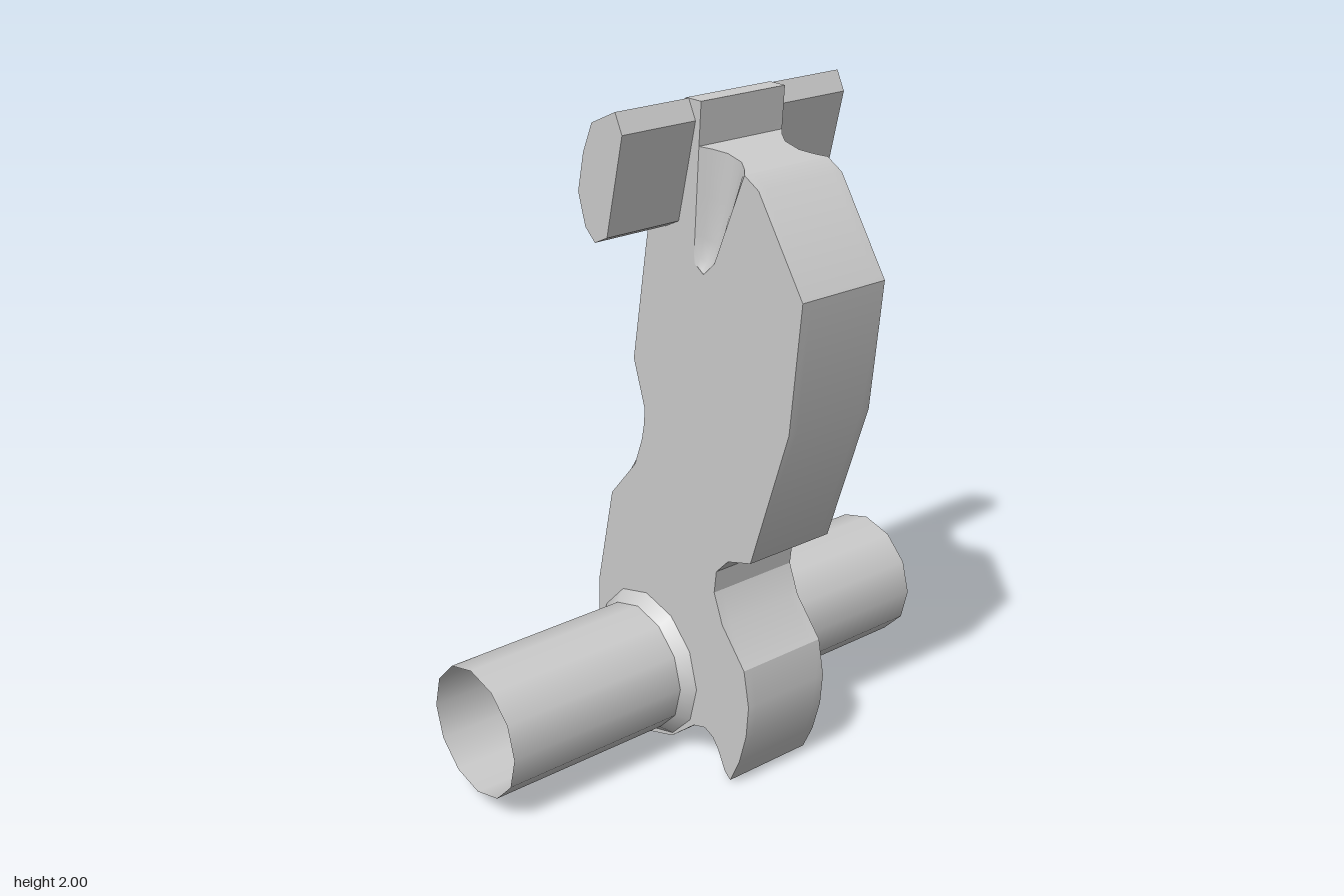
import * as THREE from 'three';
import { toCreasedNormals } from 'three/addons/utils/BufferGeometryUtils.js';

const HALF = 0.145;                    // half thickness of the arm
const AXLE = { y: 0.245, z: -0.207, r: 0.198 };
const material = new THREE.MeshStandardMaterial({ color: 0xcccccc, side: THREE.DoubleSide });

// Extrudes a [z, y] profile symmetrically along x.
function extrudeAlongX(points, half, steps = 1, hole = null) {
  const shape = new THREE.Shape(points.map(p => new THREE.Vector2(...p)));
  if (hole) shape.holes.push(new THREE.Path(hole.map(p => new THREE.Vector2(...p))));
  const g = new THREE.ExtrudeGeometry(shape, { depth: half * 2, steps, bevelEnabled: false });
  return g.rotateY(-Math.PI / 2).translate(half, 0, 0);
}

function createArm() {
  const outline = [
    // front edge, from the side scoop down to the lower hook
    [0.11, 1.575], [0.23, 1.84], [0.285, 1.81], [0.455, 1.555], [0.41, 1.18], [0.26, 0.75],
    [0.165, 0.72], [0.115, 0.67], [0.105, 0.6], [0.14, 0.51], [0.235, 0.4],
    [0.255, 0.29], [0.245, 0.19], [0.215, 0.09], [0.175, 0.01], [0.15, 0.03],
    [0.12, 0.09], [0.095, 0.12], [0.06, 0.135], [0.01, 0.12],
    // round the axle and up the waisted back edge
    [-0.095, 0.035], [-0.205, 0], [-0.305, 0.025], [-0.375, 0.065], [-0.435, 0.155],
    [-0.45, 0.255], [-0.44, 0.44], [-0.365, 0.75], [-0.25, 0.88], [-0.215, 0.97],
    [-0.204, 1.02], [-0.2, 1.07], [-0.245, 1.21], [-0.18, 1.56], [-0.14, 1.76],
    // head, inside the cross bar
    [-0.12, 1.87], [-0.08, 1.95], [0, 2], [0.06, 2], [0.05, 1.88], [0.025, 1.56], [0.065, 1.535],
  ];
  const hole = Array.from({ length: 12 }, (_, i) => {
    const a = -i * Math.PI / 6;
    return [AXLE.z + 0.2 * Math.cos(a), AXLE.y + 0.2 * Math.sin(a)];
  });
  const g = extrudeAlongX(outline, HALF, 10, hole);

  // the waist bulges back towards the middle of the thickness
  const p = g.attributes.position;
  for (let i = 0; i < p.count; i++) {
    const y = p.getY(i), z = p.getZ(i);
    if (y > 0.86 && y < 1.1 && z < -0.19) {
      p.setZ(i, z - 0.08 * (1 - (p.getX(i) / HALF) ** 2));
    }
  }
  return toCreasedNormals(g, 0.5);
}

// Fills the slot in the arm's head, leaving a tapering scoop in each side.
function createScoops() {
  const rows = [[0, 0.045], [0.4, 0.04], [0.75, 0.032], [0.92, 0.018], [1, 0]];
  const across = [0, 0.15, 0.35, 0.5, 0.65, 0.85, 1];
  const bow = v => Math.min(1, 1.15 * Math.sin(Math.PI * v));
  const pos = [], index = [], n = across.length;
  for (const side of [1, -1]) {
    const start = pos.length / 3;
    rows.forEach(([t, depth]) => across.forEach(v => {
      const z0 = 0.23 - 0.12 * t, z1 = 0.05 - 0.025 * t;
      const y0 = 1.84 - 0.265 * t, y1 = 1.88 - 0.32 * t;
      const sag = 0.03 * t * Math.sin(Math.PI * v);
      pos.push(side * (HALF - depth * bow(v)), y0 + (y1 - y0) * v - sag, z0 + (z1 - z0) * v);
    }));
    for (let r = 0; r < rows.length - 1; r++) {
      for (let c = 0; c < n - 1; c++) {
        const a = start + r * n + c, b = a + 1, d = a + n, e = d + 1;
        index.push(...(side > 0 ? [a, d, b, b, d, e] : [a, b, d, b, e, d]));
      }
    }
  }
  // sloping top face between the two scoops
  const other = rows.length * n, top = pos.length / 3;
  for (const s of [0, other]) pos.push(...pos.slice(s * 3, (s + n) * 3));
  for (let c = 0; c < n - 1; c++) {
    const a = top + c, b = a + n;
    index.push(a, a + 1, b, a + 1, b + 1, b);
  }
  const g = new THREE.BufferGeometry();
  g.setAttribute('position', new THREE.Float32BufferAttribute(pos, 3));
  g.setIndex(index);
  g.computeVertexNormals();
  return g;
}

export function createModel() {
  const group = new THREE.Group();
  const add = (name, geometry) => {
    const mesh = new THREE.Mesh(geometry, material);
    mesh.name = name;
    group.add(mesh);
    return mesh;
  };

  add('arm', createArm());
  add('sideScoops', createScoops());

  // cross bar at the head, round behind and flat in front
  add('crossBar', toCreasedNormals(extrudeAlongX([
    [0.037, 1.945], [0.01, 2], [-0.09, 1.955], [-0.13, 1.87], [-0.157, 1.76],
    [-0.13, 1.67], [-0.09, 1.635], [-0.037, 1.66],
  ], 0.385), 0.65));

  // hollow axle
  const axle = new THREE.CylinderGeometry(AXLE.r, AXLE.r, 1.54, 12, 1, true).rotateZ(Math.PI / 2);
  add('axleTube', axle).position.set(0, AXLE.y, AXLE.z);

  // tapered collar on each side of the arm
  for (const side of [1, -1]) {
    const collar = new THREE.CylinderGeometry(AXLE.r, 0.23, 0.035, 12, 1, true).rotateZ(-side * Math.PI / 2);
    add(side > 0 ? 'leftCollar' : 'rightCollar', collar)
      .position.set(side * (HALF + 0.0175), AXLE.y, AXLE.z);
  }
  return group;
}
